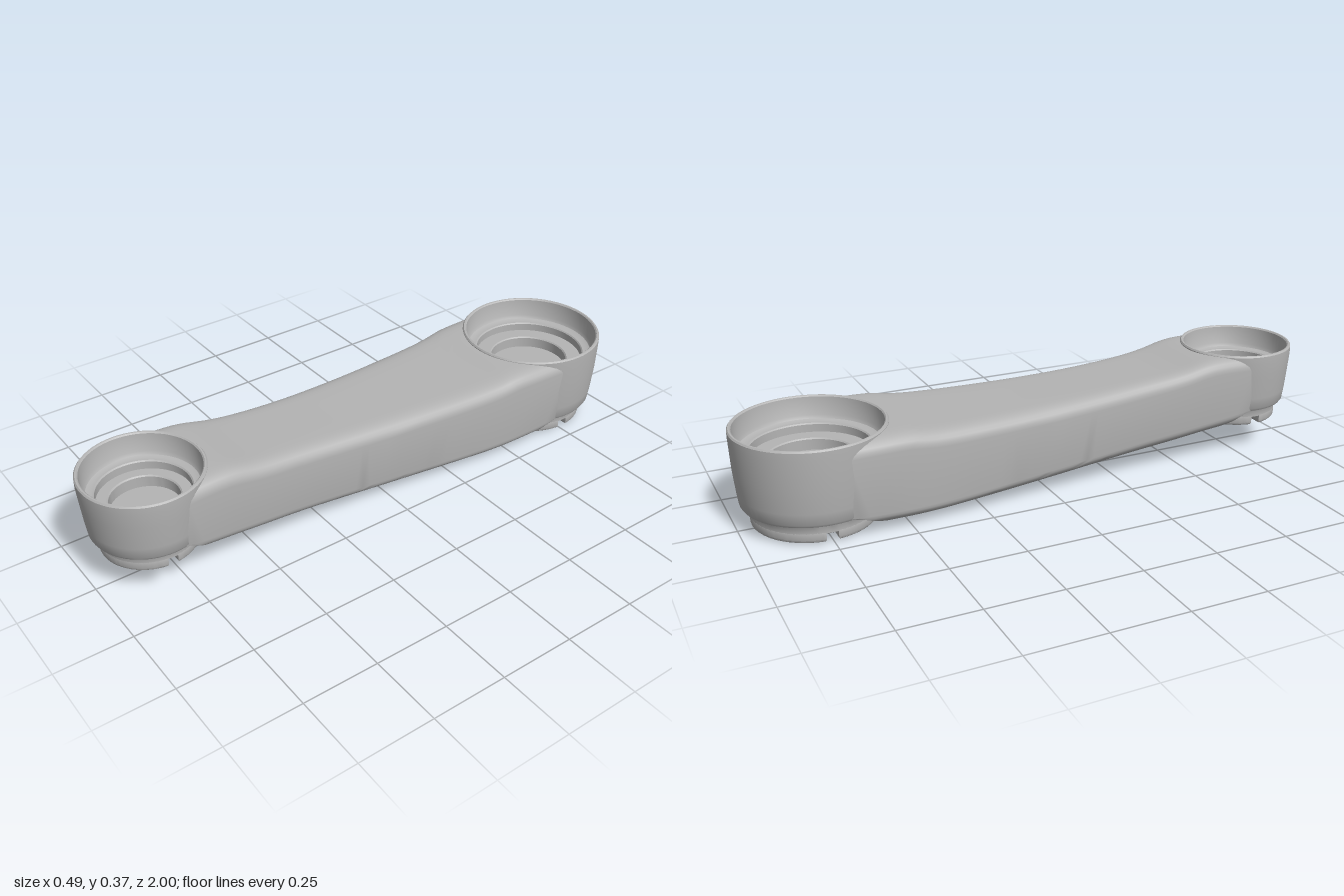
import * as THREE from 'three';
import { toCreasedNormals } from 'three/addons/utils/BufferGeometryUtils.js';

// Smooth lookup through a few [z, value] points, z ascending
function profile(points) {
  const s = new THREE.SplineCurve(points.map(p => new THREE.Vector2(...p))).getPoints(120);
  return z => {
    if (z <= s[0].x) return s[0].y;
    for (let i = 1; i < s.length; i++) {
      if (z <= s[i].x) {
        return THREE.MathUtils.mapLinear(z, s[i - 1].x, s[i].x, s[i - 1].y, s[i].y);
      }
    }
    return s[s.length - 1].y;
  };
}

const halfWidth = profile([[-0.755, 0.237], [-0.6, 0.231], [-0.4, 0.213], [-0.2, 0.197], [0, 0.184],
  [0.2, 0.174], [0.4, 0.17], [0.6, 0.177], [0.805, 0.187]]);
const topY = profile([[-0.755, 0.318], [-0.52, 0.318], [-0.44, 0.308], [-0.35, 0.303], [-0.2, 0.303],
  [0, 0.307], [0.2, 0.316], [0.4, 0.332], [0.5, 0.345], [0.62, 0.368], [0.805, 0.368]]);
const sideY = profile([[-0.755, 0.08], [-0.4, 0.07], [0, 0.09], [0.3, 0.115], [0.6, 0.15], [0.805, 0.18]]);
const bellyY = profile([[-0.6, 0.003], [-0.47, 0.003], [-0.3, 0.008], [0, 0.025], [0.4, 0.06], [0.6, 0.085], [0.7, 0.095]]);

// wall: radius hidden in the cup wall, cut: radius of the clearance under the cup
const backEnd = { z: -0.755, r: 0.245, foot: 0.23, y0: 0.07, y1: 0.325, wall: 0.237, cut: 0.28, inner: 0.21,
  capR: 0.2, capY: 0.008, notch: 0.038, ledge: 0.19, well: 0.135 };
const frontEnd = { z: 0.805, r: 0.195, foot: 0.18, y0: 0.165, y1: 0.375, wall: 0.187, cut: 0.205, inner: 0.165,
  capR: 0.153, capY: 0.106, notch: 0.032, ledge: 0.145, well: 0.108 };

// Lofted arm whose two ends wrap around the cups
function armGeometry() {
  const N = 24, ROWS = 48, ring = 2 * (N + 1), pos = [], idx = [];
  const reach = (e, x, under) => {
    const R = THREE.MathUtils.lerp(e.wall, e.cut, under);
    return Math.sqrt(Math.max(0, R * R - x * x));
  };
  for (let i = -1; i <= ROWS + 1; i++) {
    const t = THREE.MathUtils.clamp(i / ROWS, 0, 1);
    const w = halfWidth(THREE.MathUtils.lerp(backEnd.z, frontEnd.z, t));
    const end = i < 0 ? backEnd : i > ROWS ? frontEnd : null;
    for (let j = 0; j < ring; j++) {
      const below = j > N;
      const a = Math.PI * (below ? j - 1 : j) / N;
      const s = Math.cos(a), under = below ? Math.abs(Math.sin(a)) : 0;
      let x = w * s * (below ? 0.94 : 1);
      let z = THREE.MathUtils.lerp(backEnd.z + reach(backEnd, x, under), frontEnd.z - reach(frontEnd, x, under), t);
      let y = below
        ? sideY(z) - (sideY(z) - bellyY(z)) * under
        : topY(z) - 0.045 * (1 - Math.sqrt(Math.max(0, 1 - Math.pow(Math.abs(s), 10))));
      // Closing band that rises from the belly to the cup floor
      if (end && below) {
        x = end.inner * s;
        z = end.z - Math.sign(end.z) * end.inner * under;
        y = Math.max(y, end.y0 + 0.01);
      }
      pos.push(x, y, z);
    }
  }
  for (let i = 0; i < ROWS + 2; i++) {
    for (let j = 0; j < ring; j++) {
      const k = (j + 1) % ring, p = i * ring, q = p + ring;
      idx.push(p + j, p + k, q + j, p + k, q + k, q + j);
    }
  }
  const g = new THREE.BufferGeometry();
  g.setAttribute('position', new THREE.Float32BufferAttribute(pos, 3));
  g.setIndex(idx);
  return toCreasedNormals(g, 0.7);
}

// Open cup with stepped ledges inside
function cupGeometry(e) {
  const { r, foot, y0, y1, ledge, well } = e;
  const pts = [
    [0, y0], [foot - 0.018, y0], [foot - 0.007, y0 + 0.003], [foot - 0.001, y0 + 0.012],
    [foot + 0.004, y0 + 0.05], [r - 0.004, y0 + 0.13], [r, y1 - 0.03], [r, y1 - 0.005], [r - 0.004, y1],
    [r - 0.009, y1], [r - 0.013, y1 - 0.004], [r - 0.018, y1 - 0.065], [r - 0.024, y1 - 0.076], [r - 0.034, y1 - 0.08],
    [ledge + 0.004, y1 - 0.08], [ledge, y1 - 0.084], [ledge, y1 - 0.11],
    [well + 0.004, y1 - 0.11], [well, y1 - 0.114], [well, y1 - 0.15], [0, y1 - 0.15],
  ].map(p => new THREE.Vector2(...p));
  return toCreasedNormals(new THREE.LatheGeometry(pts, 64), 0.6);
}

// Cap disc with a tool notch on each side
function notchedGeometry(e) {
  const h = e.notch / 2, depth = 0.05, a = Math.asin(h / e.capR), bevel = 0.01;
  const s = new THREE.Shape();
  s.absarc(0, 0, e.capR, a, Math.PI - a, false);
  s.lineTo(-e.capR + depth, h);
  s.lineTo(-e.capR + depth, -h);
  s.absarc(0, 0, e.capR, Math.PI + a, 2 * Math.PI - a, false);
  s.lineTo(e.capR - depth, -h);
  s.lineTo(e.capR - depth, h);
  const g = new THREE.ExtrudeGeometry(s, { depth: 0.022, curveSegments: 32, bevelSize: bevel,
    bevelThickness: bevel, bevelOffset: -bevel, bevelSegments: 3 });
  g.rotateX(-Math.PI / 2).translate(0, e.capY + bevel, 0);
  return toCreasedNormals(g, 0.6);
}

// Plain collar between the notched disc and the cup
function collarGeometry(e) {
  const y = e.capY + 0.03, top = e.y0 + 0.004;
  const pts = [[0, y], [e.capR, y], [e.capR, top - 0.012], [e.capR + 0.004, top - 0.005], [e.capR + 0.01, top], [0, top]]
    .map(p => new THREE.Vector2(...p));
  return toCreasedNormals(new THREE.LatheGeometry(pts, 64), 0.6);
}

export function createModel() {
  const model = new THREE.Group();
  model.name = 'linkArm';
  const grey = new THREE.MeshStandardMaterial({ color: 0xb4b4b4 });
  grey.name = 'grey';
  const add = (parent, name, geometry) => {
    const m = new THREE.Mesh(geometry, grey);
    m.name = name;
    parent.add(m);
  };

  add(model, 'arm', armGeometry());
  for (const [name, e] of [['back', backEnd], ['front', frontEnd]]) {
    const g = new THREE.Group();
    g.name = name + 'Socket';
    g.position.z = e.z;
    add(g, name + 'Cup', cupGeometry(e));
    add(g, name + 'Collar', collarGeometry(e));
    add(g, name + 'NotchedCap', notchedGeometry(e));
    model.add(g);
  }
  return model;
}
